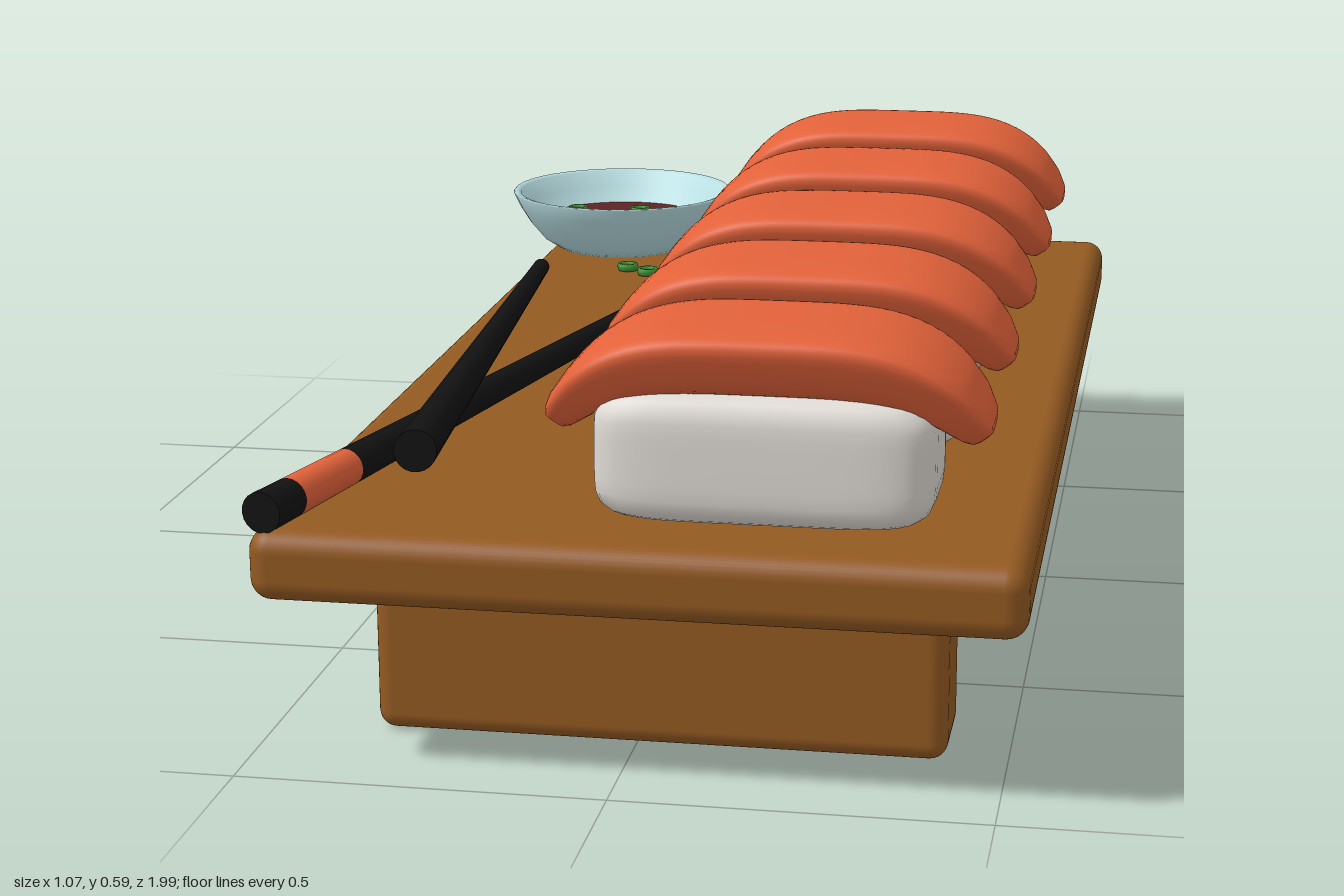
import * as THREE from 'three';
import { mergeVertices } from 'three/addons/utils/BufferGeometryUtils.js';
import { RoundedBoxGeometry } from 'three/addons/geometries/RoundedBoxGeometry.js';

const material = (name, color) => {
  const m = new THREE.MeshStandardMaterial({ color });
  m.name = name;
  return m;
};

// Smooth pillow shape: a cube grid pulled onto a superellipsoid, then moved by a rule
function pillow(power, segments, rule) {
  let g = new THREE.BoxGeometry(2, 2, 2, ...segments);
  g.deleteAttribute('normal');
  g.deleteAttribute('uv');
  g = mergeVertices(g);
  const p = g.attributes.position;
  const v = new THREE.Vector3();
  for (let i = 0; i < p.count; i++) {
    v.fromBufferAttribute(p, i);
    const sum = Math.abs(v.x) ** power + Math.abs(v.y) ** power + Math.abs(v.z) ** power;
    v.multiplyScalar(sum ** (-1 / power));
    rule(v);
    p.setXYZ(i, v.x, v.y, v.z);
  }
  g.computeVertexNormals();
  return g;
}

export function createModel() {
  const wood = material('wood', 0x945a22);
  const salmon = material('salmon', 0xe2623a);
  const riceWhite = material('rice white', 0xe0dbd5);
  const lacquer = material('black lacquer', 0x121212);
  const porcelain = material('pale blue porcelain', 0xb9dfe3);
  const soy = material('soy sauce', 0x5e2424);
  const green = material('spring onion green', 0x3f8f35);

  const model = new THREE.Group();
  model.name = 'sushiBoard';
  const add = (name, geometry, mat, x = 0, y = 0, z = 0, parent = model) => {
    const mesh = new THREE.Mesh(geometry, mat);
    mesh.name = name;
    mesh.position.set(x, y, z);
    parent.add(mesh);
    return mesh;
  };

  // Serving board on two feet
  add('board', new RoundedBoxGeometry(1.01, 0.097, 1.985, 4, 0.03), wood, 0.03, 0.2865, 0.003);
  const foot = new RoundedBoxGeometry(0.78, 0.255, 0.16, 4, 0.025);
  add('frontFoot', foot, wood, 0.03, 0.1275, 0.73);
  add('backFoot', foot, wood, 0.03, 0.1275, -0.72);

  // Five pieces of sushi: rice block with a fish slice draped over it
  const rice = pillow(6, [20, 10, 14], (v) => v.multiply(new THREE.Vector3(0.225, 0.088, 0.119)));
  const fish = pillow(4.5, [32, 10, 16], (v) => {
    const u = v.x;
    const u4 = u ** 4;
    const tilt = Math.atan(-1.35 * u ** 3);
    const h = v.y * 0.046 * (1 - 0.25 * u4);
    v.z *= 0.128 * (1 - 0.15 * u4) * (0.91 + 0.14 * v.y);
    v.x = u * 0.284 - Math.sin(tilt) * h;
    v.y = -0.1 * u4 + Math.cos(tilt) * h;
  });
  for (let i = 0; i < 5; i++) {
    const piece = new THREE.Group();
    piece.name = 'sushi' + (i + 1);
    piece.position.set(0.178, 0, 0.77 - i * 0.381);
    model.add(piece);
    add('rice', rice, riceWhite, 0, 0.421, 0, piece);
    add('fishSlice', fish, salmon, 0, 0.548, 0, piece);
  }

  // Sauce bowl
  const bowl = new THREE.Group();
  bowl.name = 'sauceBowl';
  bowl.position.set(-0.338, 0, -0.8);
  model.add(bowl);
  const profile = [[0, 0.336], [0.115, 0.336], [0.145, 0.355], [0.17, 0.385], [0.188, 0.415], [0.199, 0.438],
    [0.196, 0.441], [0.186, 0.438], [0.17, 0.412], [0.15, 0.388], [0.135, 0.375], [0, 0.37]];
  add('bowl', new THREE.LatheGeometry(profile.map(([x, y]) => new THREE.Vector2(x, y)), 40), porcelain, 0, 0, 0, bowl);
  add('sauce', new THREE.CircleGeometry(0.147, 40).rotateX(-Math.PI / 2), soy, 0, 0.386, 0, bowl);

  // Spring onion rings, three on the sauce and two on the board
  const ring = new THREE.TorusGeometry(0.015, 0.0045, 6, 10).rotateX(Math.PI / 2).scale(1, 1.6, 1);
  const ringSpots = [[-0.43, 0.391, -0.84], [-0.388, 0.391, -0.795], [-0.314, 0.391, -0.85],
    [-0.286, 0.343, -0.587], [-0.244, 0.343, -0.555]];
  ringSpots.forEach((p, i) => add('onionRing' + (i + 1), ring, green, ...p));

  // Tapered chopsticks, cut into coloured lengths from the thick end to the tip
  function chopstick(name, from, to, parts) {
    const a = new THREE.Vector3(...from);
    const b = new THREE.Vector3(...to);
    const length = a.distanceTo(b);
    const stick = new THREE.Group();
    stick.name = name;
    stick.position.copy(a);
    stick.quaternion.setFromUnitVectors(new THREE.Vector3(0, 1, 0), b.sub(a).normalize());
    model.add(stick);
    const radius = (t) => 0.028 - 0.014 * t;
    parts.forEach(([label, t0, t1, mat]) => {
      const g = new THREE.CylinderGeometry(radius(t1), radius(t0), (t1 - t0) * length, 20);
      add(label, g, mat, 0, ((t0 + t1) / 2) * length, 0, stick);
    });
  }
  chopstick('raisedChopstick', [-0.254, 0.443, 0.955], [-0.43, 0.35, -0.53], [['shaft', 0, 1, lacquer]]);
  chopstick('bandedChopstick', [-0.455, 0.357, 0.978], [-0.135, 0.352, -0.48], [
    ['endCap', 0, 0.048, lacquer], ['band', 0.048, 0.152, salmon], ['shaft', 0.152, 1, lacquer]]);

  return model;
}
